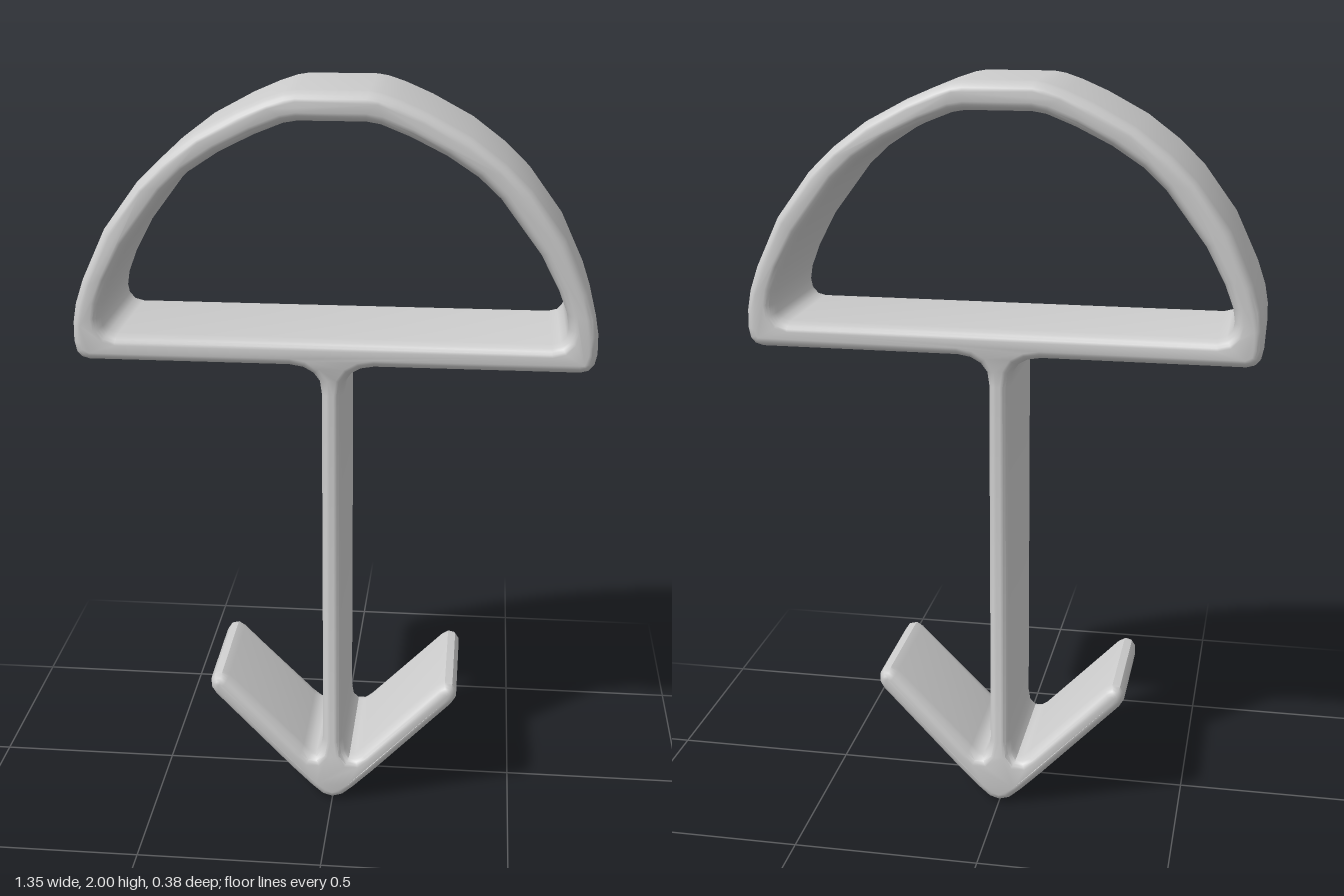
import * as THREE from 'three';
import { mergeVertices, toCreasedNormals } from 'three/addons/utils/BufferGeometryUtils.js';

const HALF_DEPTH = 0.191;
const BEVEL = 0.024;
const BEVEL_DEPTH = 0.04;

// Completes a right-hand half outline with its mirror image.
function mirrored(half) {
  const left = half.filter(([x]) => x > 0).reverse().map(([x, y]) => [-x, y]);
  return [...half, ...left].map(([x, y]) => new THREE.Vector2(x, y));
}

// Extrudes an outline along z with rounded rims, slimmer along the stem and barb tips.
function softExtrude(shape) {
  const geometry = new THREE.ExtrudeGeometry(shape, {
    depth: 2 * (HALF_DEPTH - BEVEL_DEPTH),
    bevelEnabled: true,
    bevelSize: BEVEL,
    bevelOffset: -BEVEL,
    bevelThickness: BEVEL_DEPTH,
    bevelSegments: 5,
  });
  geometry.translate(0, 0, -(HALF_DEPTH - BEVEL_DEPTH));
  const position = geometry.attributes.position;
  for (let i = 0; i < position.count; i++) {
    const y = position.getY(i);
    if (y > 0.15 && y < 1.27) position.setZ(i, position.getZ(i) * 0.95);
  }
  geometry.deleteAttribute('uv');
  geometry.deleteAttribute('normal');
  return toCreasedNormals(mergeVertices(geometry, 1e-4), 0.75);
}

export function createModel() {
  const group = new THREE.Group();
  group.name = 'arrowAnchor';

  const grey = new THREE.MeshStandardMaterial({ color: 0xcccccc });
  grey.name = 'plain grey';

  // Lower barb, from the rounded point out to its tip and back
  const barb = [
    [0, 0.002], [0.03, 0.011], [0.06, 0.037], [0.116, 0.093],
    [0.333, 0.318], [0.345, 0.338], [0.345, 0.36], [0.334, 0.377], [0.313, 0.382], [0.293, 0.37],
    [0.085, 0.155], [0.065, 0.138],
  ];
  // Stem edge, flared where it meets the barbs and the crossbar
  const stem = [
    [0.048, 0.138], [0.035, 0.155], [0.029, 0.19],
    [0.029, 1.22], [0.034, 1.255], [0.05, 1.28], [0.075, 1.294], [0.11, 1.3],
  ];
  // Outside of the D-shaped grip
  const gripOuter = [
    [0.635, 1.3], [0.657, 1.306], [0.671, 1.322], [0.677, 1.35], [0.676, 1.4],
    [0.667, 1.45], [0.645, 1.514], [0.583, 1.645], [0.494, 1.765], [0.43, 1.827],
    [0.342, 1.893], [0.235, 1.95], [0.165, 1.98], [0.12, 1.995], [0.09, 2],
  ];
  // Opening of the grip
  const gripInner = [
    [0.56, 1.37], [0.583, 1.376], [0.597, 1.392], [0.601, 1.415], [0.595, 1.452],
    [0.572, 1.512], [0.523, 1.604], [0.418, 1.743], [0.362, 1.795],
    [0.284, 1.846], [0.193, 1.891], [0.12, 1.92], [0.085, 1.926],
  ];

  const outline = new THREE.Shape(mirrored([...barb, ...stem, ...gripOuter]));
  outline.holes.push(new THREE.Path(mirrored(gripInner)));

  // Barbs, stem and grip form one continuous moulding
  const body = new THREE.Mesh(softExtrude(outline), grey);
  body.name = 'barbedStemWithGrip';
  group.add(body);

  return group;
}
